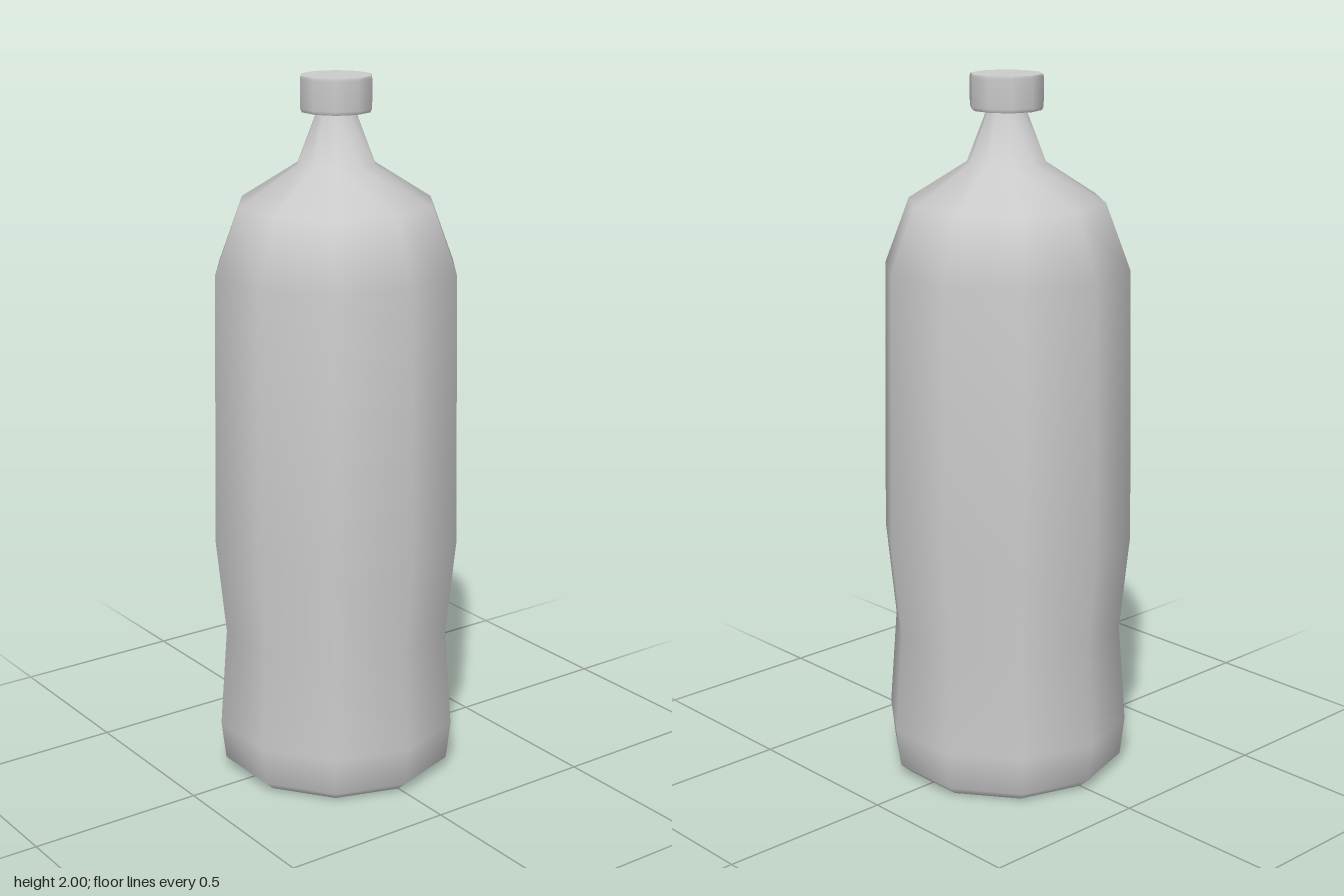
import * as THREE from 'three';

const SIDES = 10;
const material = new THREE.MeshStandardMaterial({ color: 0xcccccc });

// Ten-sided turned surface, profile given as [radius, height] from bottom to top
function turned(name, profile) {
  const points = profile.map(([r, y]) => new THREE.Vector2(r, y));
  const geometry = new THREE.LatheGeometry(points, SIDES, Math.PI / 2);
  const mesh = new THREE.Mesh(geometry, material);
  mesh.name = name;
  return mesh;
}

export function createModel() {
  const model = new THREE.Group();
  model.name = 'bottle';

  // Bottle: flat base, then wall with waist, shoulder and neck
  const body = new THREE.Group();
  body.name = 'body';
  body.add(
    turned('base', [[0, 0], [0.306, 0]]),
    turned('wall', [
      [0.306, 0], [0.338, 0.028], [0.351, 0.14], [0.33, 0.425], [0.358, 0.7],
      [0.346, 1.47], [0.276, 1.655], [0.111, 1.76], [0.052, 1.91],
    ]),
  );

  // Screw cap: underside, rim and flat top kept separate for crisp edges
  const cap = new THREE.Group();
  cap.name = 'cap';
  cap.add(
    turned('capUnderside', [[0.04, 1.903], [0.097, 1.903]]),
    turned('capRim', [[0.097, 1.903], [0.102, 1.913], [0.102, 1.992], [0.1, 2]]),
    turned('capTop', [[0.1, 2], [0, 2]]),
  );

  model.add(body, cap);
  return model;
}
